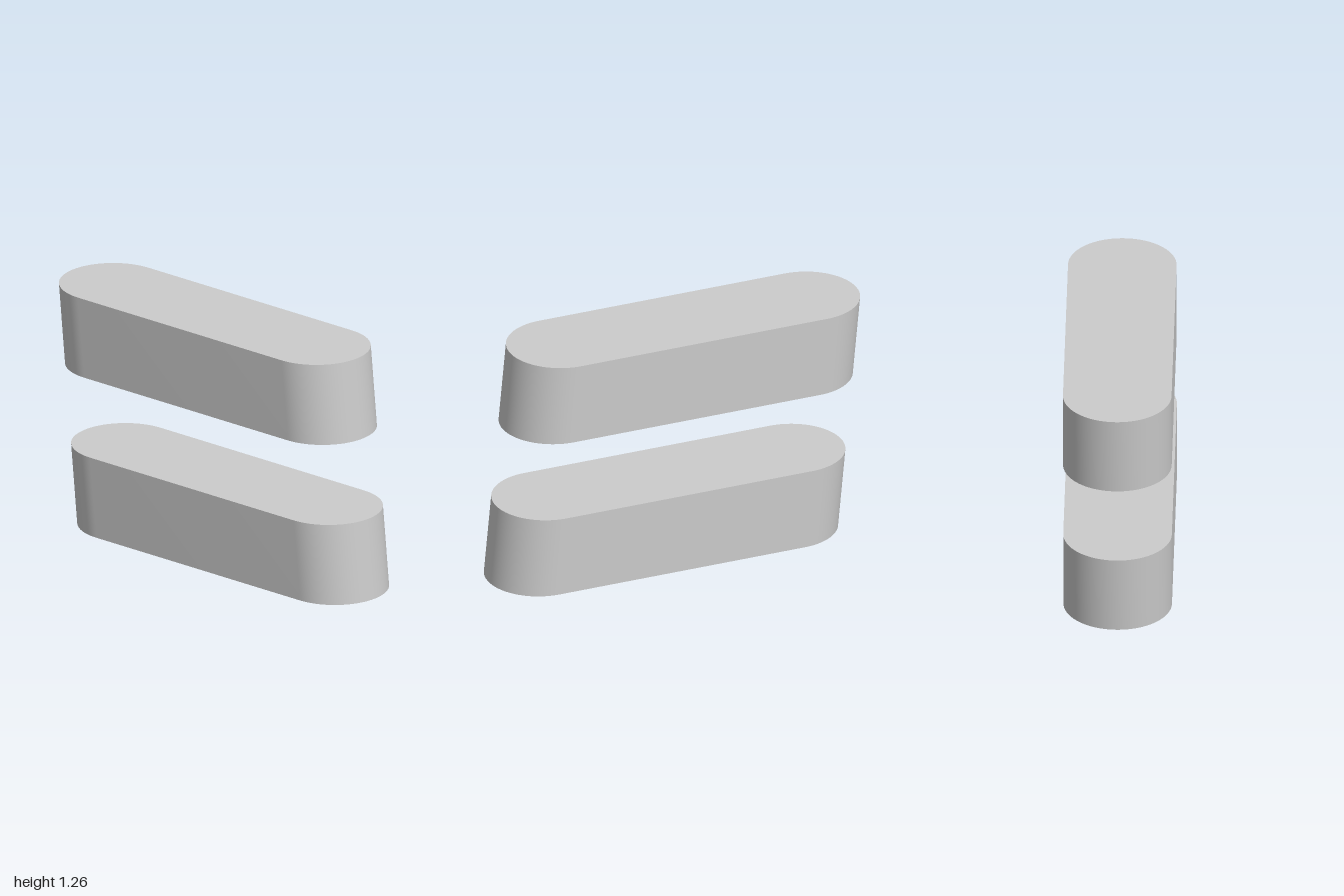
import * as THREE from 'three';
import { toCreasedNormals } from 'three/addons/utils/BufferGeometryUtils.js';

const RADIUS = 0.272;      // rounded ends
const HALF_LENGTH = 0.94;
const BAR_HEIGHT = 0.42;
const TOTAL_HEIGHT = 1.26;
const LEAN = 0.12;         // sideways shift over the total height

// Stadium outline: two half circles joined by straight sides
function stadium() {
  const c = HALF_LENGTH - RADIUS;
  const shape = new THREE.Shape();
  shape.absarc(c, 0, RADIUS, -Math.PI / 2, Math.PI / 2, false);
  shape.absarc(-c, 0, RADIUS, Math.PI / 2, Math.PI * 1.5, false);
  shape.closePath();
  return shape;
}

// Upright bar from y = bottom, slanted towards -x as it rises
function slantedBar(bottom) {
  const geometry = new THREE.ExtrudeGeometry(stadium(), {
    depth: BAR_HEIGHT, bevelEnabled: false, curveSegments: 32,
  });
  geometry.rotateX(-Math.PI / 2);
  geometry.translate(0, bottom, 0);
  geometry.applyMatrix4(new THREE.Matrix4().makeShear(0, 0, -LEAN / TOTAL_HEIGHT, 0, 0, 0));
  geometry.translate(LEAN / 2, 0, 0);
  return toCreasedNormals(geometry, Math.PI / 6);
}

export function createModel() {
  const group = new THREE.Group();
  group.name = 'slantedBars';
  const material = new THREE.MeshStandardMaterial({ color: 0xcccccc });

  // Matching bars with a gap of one bar height between them
  const bars = { lowerBar: 0, upperBar: TOTAL_HEIGHT - BAR_HEIGHT };
  for (const [name, bottom] of Object.entries(bars)) {
    const bar = new THREE.Mesh(slantedBar(bottom), material);
    bar.name = name;
    group.add(bar);
  }
  return group;
}
